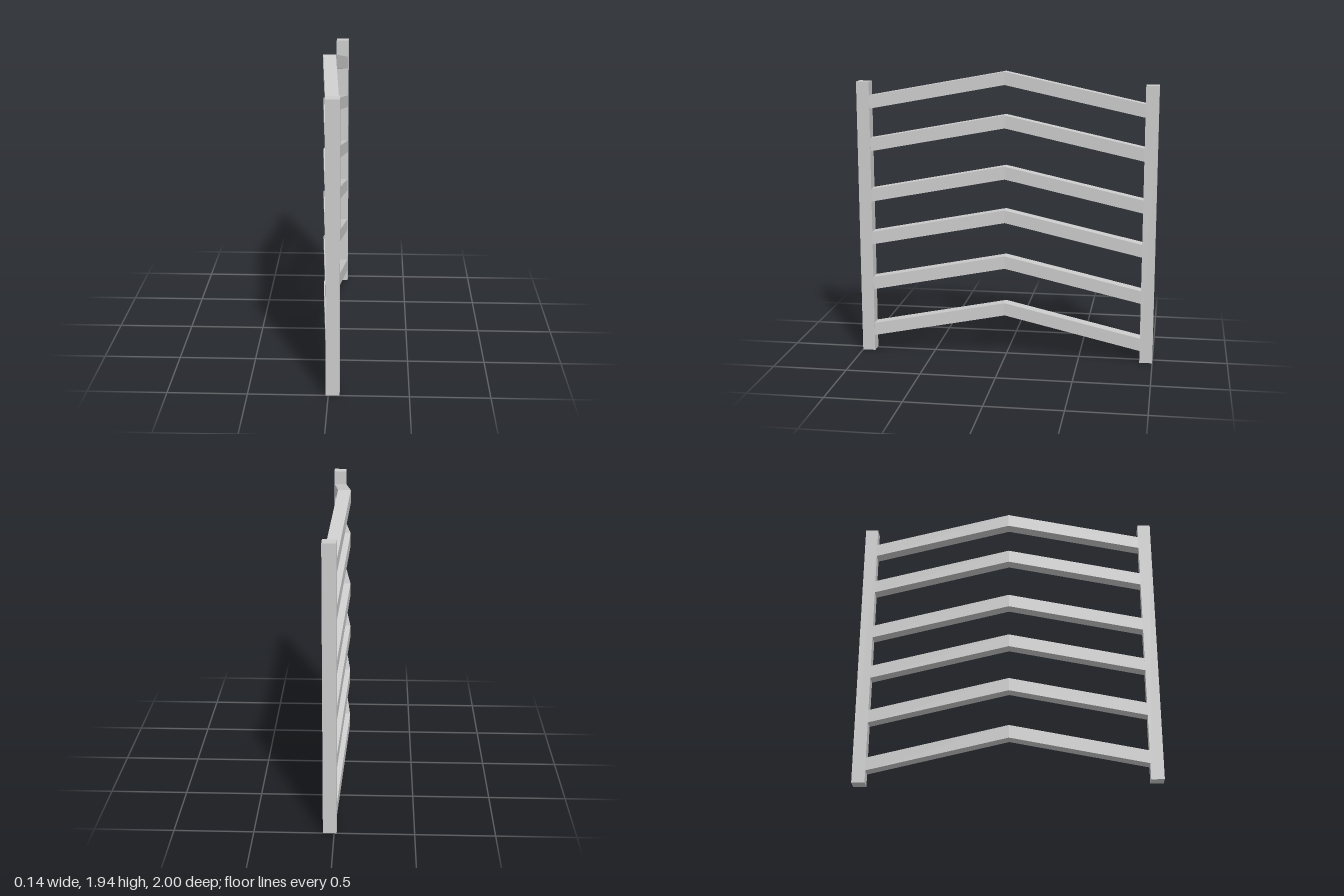
import * as THREE from 'three';

const POST = 0.086;      // square section of the posts
const HEIGHT = 1.865;    // post height
const INNER = 1 - POST;  // z of the inner post faces
const POST_X = 0.027;    // post centre in x
const RAIL_H = 0.087;    // rail height

// Bar with a bend in the middle: it rises to a peak and bows out toward -x.
function bentRail() {
  const box = new THREE.BoxGeometry(0.083, RAIL_H, 2 * INNER, 1, 1, 2);
  const p = box.attributes.position;
  for (let i = 0; i < p.count; i++) {
    const z = p.getZ(i);
    if (Math.abs(z) < 0.01) {
      p.setX(i, p.getX(i) - 0.03);
      p.setZ(i, 0.012);
    } else {
      p.setX(i, p.getX(i) + 0.026);
      p.setY(i, p.getY(i) - (z > 0 ? 0.165 : 0.191));
    }
  }
  const geo = box.toNonIndexed();
  geo.computeVertexNormals();
  return geo;
}

export function createModel() {
  const group = new THREE.Group();
  group.name = 'slattedPanel';
  const material = new THREE.MeshStandardMaterial({ color: 0xcccccc, flatShading: true });

  // Upright posts at both ends
  const postGeo = new THREE.BoxGeometry(POST, HEIGHT, POST);
  for (const [name, side] of [['frontPost', 1], ['backPost', -1]]) {
    const post = new THREE.Mesh(postGeo, material);
    post.name = name;
    post.position.set(POST_X, HEIGHT / 2, side * (1 - POST / 2));
    group.add(post);
  }

  // Six bent rails, placed by the height of their peak
  const railGeo = bentRail();
  [0.36, 0.69, 1.008, 1.306, 1.65, 1.937].forEach((top, i) => {
    const rail = new THREE.Mesh(railGeo, material);
    rail.name = `bentRail${i + 1}`;
    rail.position.y = top - RAIL_H / 2;
    group.add(rail);
  });

  return group;
}
